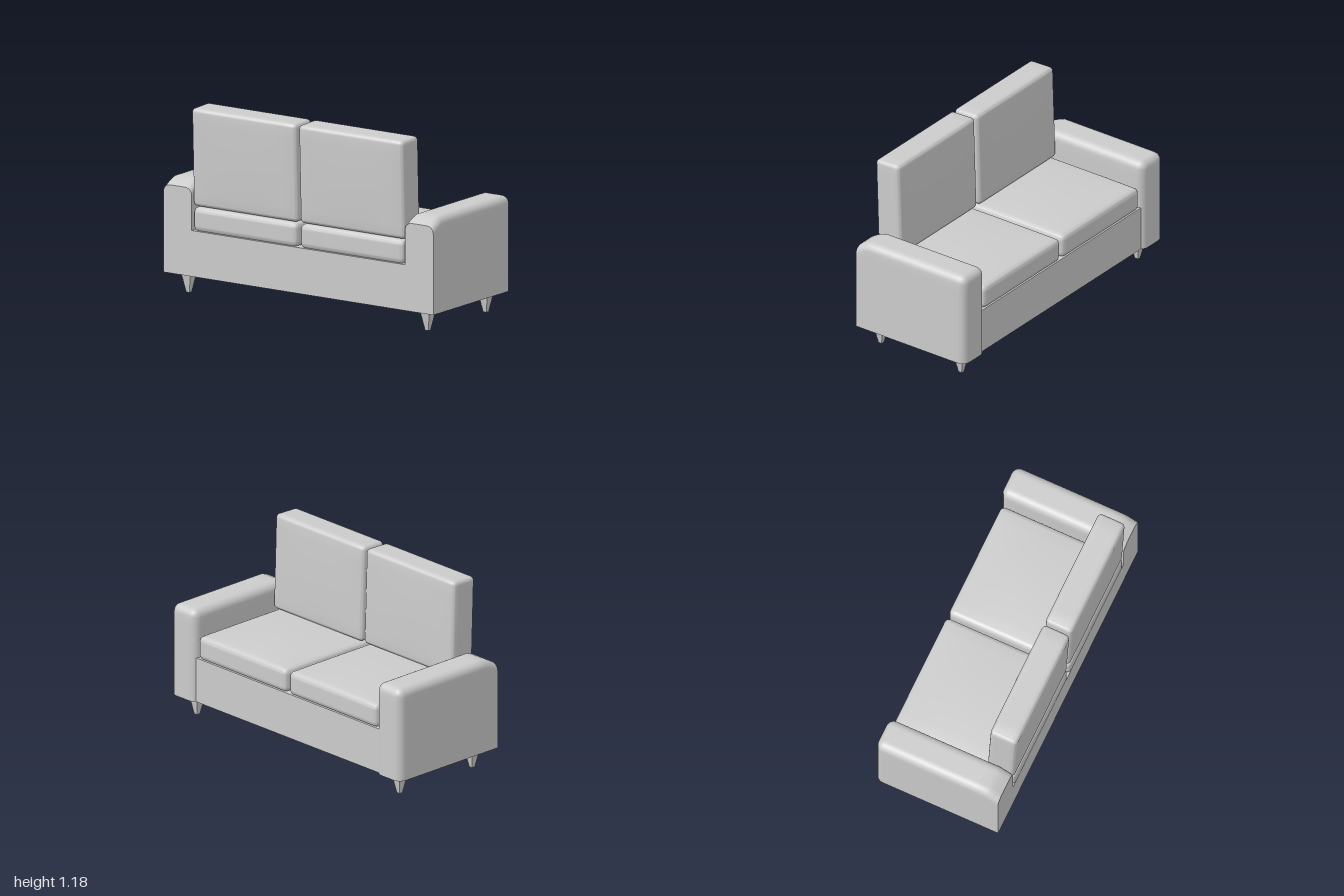
import * as THREE from 'three';
import { toCreasedNormals } from 'three/addons/utils/BufferGeometryUtils.js';

const BAND = 3, INNER = 10, N = 2 * BAND + INNER;
const grey = new THREE.MeshStandardMaterial({ color: 0xcccccc });

// Rounded block centred on the origin. Sides flagged in `flat` (low x, low y)
// stay square; `warp` reshapes the finished vertices.
function softBlock(size, r, { flat = [false, false, false], flatBand = 0.09, warp } = {}) {
  const geo = new THREE.BoxGeometry(1, 1, 1, N, N, N);
  const pos = geo.attributes.position;
  const p = new THREE.Vector3(), core = new THREE.Vector3(), d = new THREE.Vector3();
  const arc = (k) => r * (1 - Math.tan((1 - k / BAND) * Math.PI / 4));
  for (let i = 0; i < pos.count; i++) {
    p.fromBufferAttribute(pos, i);
    for (let a = 0; a < 3; a++) {
      const h = size[a] / 2, lo = flat[a] ? flatBand : r;
      const k = Math.round((p.getComponent(a) + 0.5) * N);
      let v;
      if (k <= BAND) v = -h + (flat[a] ? lo * k / BAND : arc(k));
      else if (k >= N - BAND) v = h - arc(N - k);
      else v = -h + lo + (2 * h - lo - r) * (k - BAND) / INNER;
      p.setComponent(a, v);
      core.setComponent(a, THREE.MathUtils.clamp(v, flat[a] ? -h : -h + r, h - r));
    }
    // pull the square edge bands onto a round
    d.subVectors(p, core);
    const len = d.length();
    if (len > 1e-9) {
      d.multiplyScalar(Math.max(Math.abs(d.x), Math.abs(d.y), Math.abs(d.z)) / len);
      p.addVectors(core, d);
    }
    if (warp) warp(p);
    pos.setXYZ(i, p.x, p.y, p.z);
  }
  return toCreasedNormals(geo, 0.75);
}

const dome = (a, ha, b, hb) => (1 - (a / ha) ** 2) * (1 - (b / hb) ** 2);

function add(parent, name, geo, x, y, z) {
  const mesh = new THREE.Mesh(geo, grey);
  mesh.name = name;
  mesh.position.set(x, y, z);
  parent.add(mesh);
  return mesh;
}

export function createModel() {
  const sofa = new THREE.Group();
  sofa.name = 'sofa';

  // Base between the arms
  add(sofa, 'base', new THREE.BoxGeometry(0.8, 0.285, 1.6), 0, 0.2705, 0);

  // Arm: round top and front, square back and bottom, top sloping down at the back
  const arm = softBlock([0.82, 0.592, 0.21], 0.05, {
    flat: [true, true, false],
    warp: (p) => {
      const t = Math.max(0, (-0.32 - p.x) / 0.09);
      p.y -= 0.045 * t ** 1.3 * (p.y + 0.296) / 0.592;
    },
  });

  // Seat cushion with a crowned top
  const seat = softBlock([0.81, 0.15, 0.77], 0.032, {
    warp: (p) => { if (p.y > 0) p.y += 0.018 * dome(p.x, 0.405, p.z, 0.385); },
  });

  // Back cushion, gently padded front and rear
  const back = softBlock([0.178, 0.612, 0.775], 0.027, {
    warp: (p) => { p.x += Math.sign(p.x) * 0.006 * dome(p.y, 0.306, p.z, 0.3875); },
  });

  // Tapered square leg
  const leg = new THREE.CylinderGeometry(0.036 * Math.SQRT2, 0.012 * Math.SQRT2, 0.13, 4, 1)
    .rotateY(Math.PI / 4).toNonIndexed();
  leg.computeVertexNormals();

  for (const s of [-1, 1]) {
    const side = s > 0 ? 'Front' : 'Rear';
    add(sofa, 'arm' + side, arm, 0.01, 0.424, s * 0.895);
    add(sofa, 'seatCushion' + side, seat, 0.0, 0.486, s * 0.395);
    add(sofa, 'backCushion' + side, back, -0.321, 0.873, s * 0.396).rotation.z = 0.032;
    for (const x of [-0.295, 0.31]) add(sofa, 'leg', leg, x, 0.065, s * 0.885);
  }
  return sofa;
}
